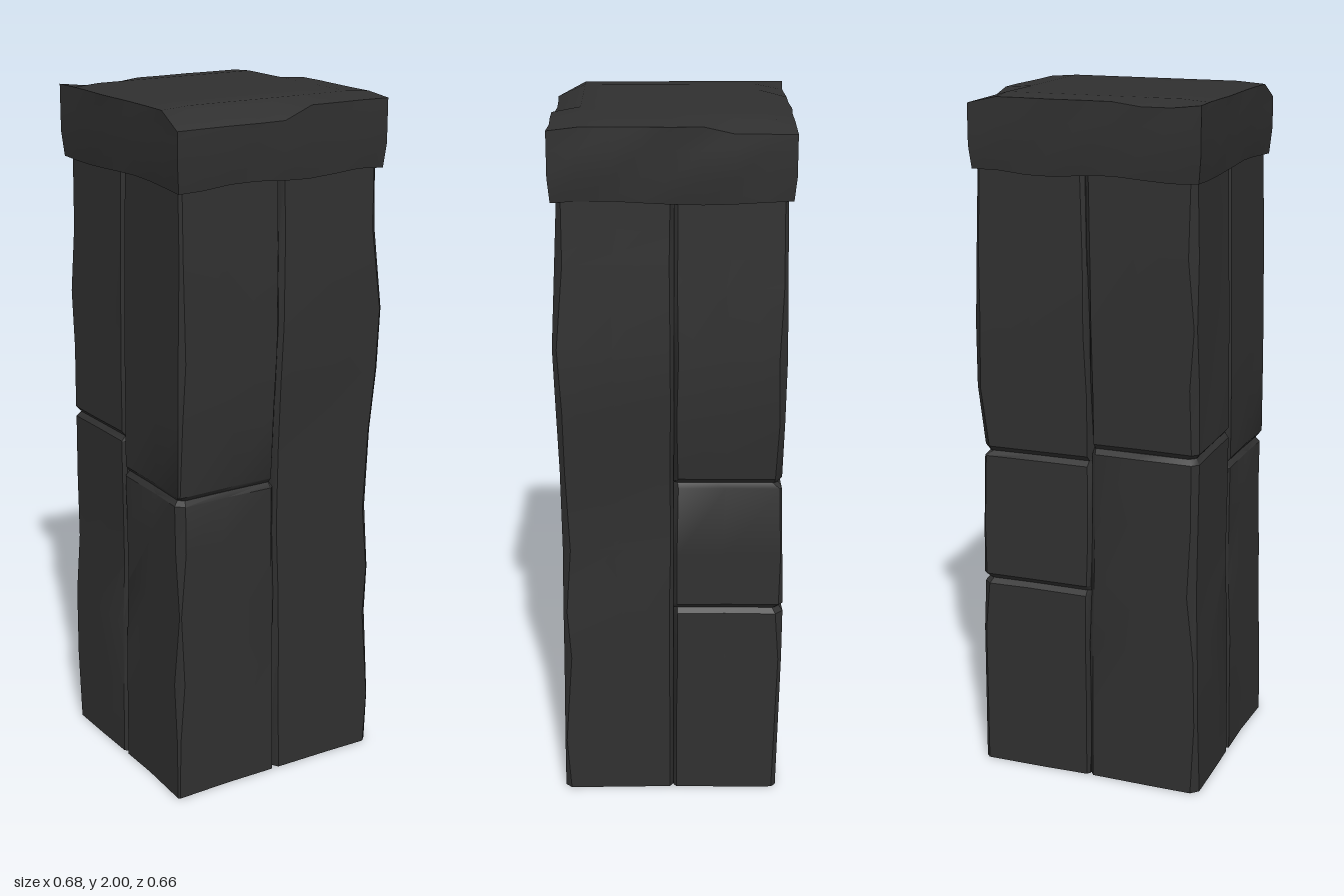
import * as THREE from 'three';
import { toCreasedNormals } from 'three/addons/utils/BufferGeometryUtils.js';

const stone = new THREE.MeshStandardMaterial({ color: 0x303030 });
stone.name = 'darkStone';

// small seeded wobble between -1 and 1
let seed = 7;
const wobble = () => {
  seed = (seed * 16807) % 2147483647;
  return (seed / 2147483647) * 2 - 1;
};

// piecewise linear lookup in a list of [y, value]
function along(profile, y) {
  for (let i = 1; i < profile.length; i++) {
    const [y0, v0] = profile[i - 1], [y1, v1] = profile[i];
    if (y <= y1) return THREE.MathUtils.lerp(v0, v1, Math.max(0, (y - y0) / (y1 - y0)));
  }
  return profile[profile.length - 1][1];
}

// outer faces of the pillar and its wandering seam
const faceRight = [[0, 0.33], [0.28, 0.325], [0.6, 0.32], [0.95, 0.31], [1.2, 0.335], [1.4, 0.335], [1.6, 0.32], [1.8, 0.315]];
const faceLeft = [[0, 0.348], [0.4, 0.345], [0.6, 0.335], [0.95, 0.338], [1.3, 0.335], [1.8, 0.325]];
const faceFront = [[0, 0.318], [0.9, 0.312], [1.1, 0.318], [1.4, 0.328], [1.6, 0.318], [1.8, 0.308]];
const faceBack = [[0, 0.31], [0.55, 0.322], [0.95, 0.31], [1.35, 0.318], [1.8, 0.31]];
const seamX = [[0, -0.008], [0.35, -0.012], [0.9, -0.022], [1.4, -0.012], [1.8, -0.002]];

// closed loft through rings of equal length
function loft(rings) {
  const n = rings[0].length, pos = rings.flat(2), index = [];
  for (let r = 0; r < rings.length - 1; r++) {
    for (let i = 0; i < n; i++) {
      const a = r * n + i, b = r * n + (i + 1) % n;
      index.push(a, a + n, b, b, a + n, b + n);
    }
  }
  const top = (rings.length - 1) * n;
  for (let i = 1; i < n - 1; i++) {
    index.push(0, i, i + 1, top, top + i + 1, top + i);
  }
  const g = new THREE.BufferGeometry();
  g.setAttribute('position', new THREE.Float32BufferAttribute(pos, 3));
  g.setIndex(index);
  return toCreasedNormals(g, 0.6);
}

// one rough block of a quarter column, between two heights
function blockGeometry(sx, sz, y0, y1) {
  const rings = [];
  const steps = Math.max(2, Math.round((y1 - y0) / 0.2));
  const levels = [y0];
  if (y0 > 0) levels.push(y0 + 0.015);
  for (let i = 1; i < steps; i++) levels.push(y0 + (y1 - y0) * (i + wobble() * 0.2) / steps);
  if (y1 < 1.78) levels.push(y1 - 0.015);
  levels.push(y1);
  levels.forEach((y, k) => {
    const chipped = (k === 0 && y0 > 0) || (k === levels.length - 1 && y1 < 1.78);
    const inset = chipped ? 0.012 : 0;
    const cx = along(seamX, y), cz = -0.005;
    const ox = sx * (along(sx > 0 ? faceRight : faceLeft, y) - inset);
    const oz = sz * (along(sz > 0 ? faceFront : faceBack, y) - inset);
    const g = 0.008 + 0.006 * Math.abs(wobble());
    const d = 0.02 + 0.01 * wobble();
    const c = 0.014 + 0.01 * wobble();
    const mx = (cx + ox) / 2 + 0.03 * wobble(), mz = (cz + oz) / 2 + 0.03 * wobble();
    const ring = [
      [cx, cz],
      [cx, oz - sz * d],
      [cx + sx * g, oz - sz * 0.004],
      [mx, oz - sz * 0.006 * Math.abs(wobble())],
      [ox - sx * c, oz],
      [ox, oz - sz * c],
      [ox - sx * 0.006 * Math.abs(wobble()), mz],
      [ox - sx * 0.004, cz + sz * g],
      [ox - sx * d, cz],
    ].map(([x, z]) => [x, y, z]);
    // keep every ring turning the same way
    if (sx * sz < 0) ring.reverse();
    rings.push(ring.reverse());
  });
  return loft(rings);
}

// slab with worn, sagging upper edges
function capGeometry() {
  const g = new THREE.BoxGeometry(0.672, 0.21, 0.66, 8, 3, 8);
  const p = g.attributes.position;
  for (let i = 0; i < p.count; i++) {
    let x = p.getX(i), y = p.getY(i), z = p.getZ(i);
    const upper = y > 0.1, lower = y < -0.1;
    const edgeX = Math.abs(x) > 0.33, edgeZ = Math.abs(z) > 0.32;
    if (upper) {
      if (z > 0.32) y -= x < 0.08 ? 0.05 : 0.015;
      else if (x > 0.33 && z < -0.1) y -= 0.025;
      else if (edgeX || edgeZ) y -= 0.006;
      if (z < -0.32 && x < -0.1 && x > -0.3) y -= 0.01;
    }
    if (lower) {
      if (edgeX) x *= 0.98;
      if (edgeZ) z *= 0.98;
      y += 0.006 * Math.sin(x * 17 + z * 11);
    }
    // soft dents in the sides
    const dent = 0.005 * Math.sin(x * 13 + y * 19 + z * 9);
    if (edgeX && !edgeZ) x -= Math.sign(x) * Math.abs(dent);
    if (edgeZ && !edgeX) z -= Math.sign(z) * Math.abs(dent);
    p.setXYZ(i, x, y, z);
  }
  return toCreasedNormals(g, 0.6);
}

export function createModel() {
  const pillar = new THREE.Group();
  pillar.name = 'stonePillar';

  // four quarter columns, each split at its own joints
  const columns = [
    ['frontLeftColumn', 1, 1, [0, 1.8]],
    ['frontRightColumn', -1, 1, [0, 0.92, 1.8]],
    ['backLeftColumn', 1, -1, [0, 0.59, 0.98, 1.8]],
    ['backRightColumn', -1, -1, [0, 1.02, 1.8]],
  ];
  for (const [name, sx, sz, joints] of columns) {
    const column = new THREE.Group();
    column.name = name;
    for (let i = 0; i < joints.length - 1; i++) {
      const block = new THREE.Mesh(blockGeometry(sx, sz, joints[i], joints[i + 1]), stone);
      block.name = 'block' + (i + 1);
      column.add(block);
    }
    pillar.add(column);
  }

  // capstone
  const cap = new THREE.Mesh(capGeometry(), stone);
  cap.name = 'capstone';
  cap.position.set(-0.007, 1.895, 0);
  pillar.add(cap);
  return pillar;
}
